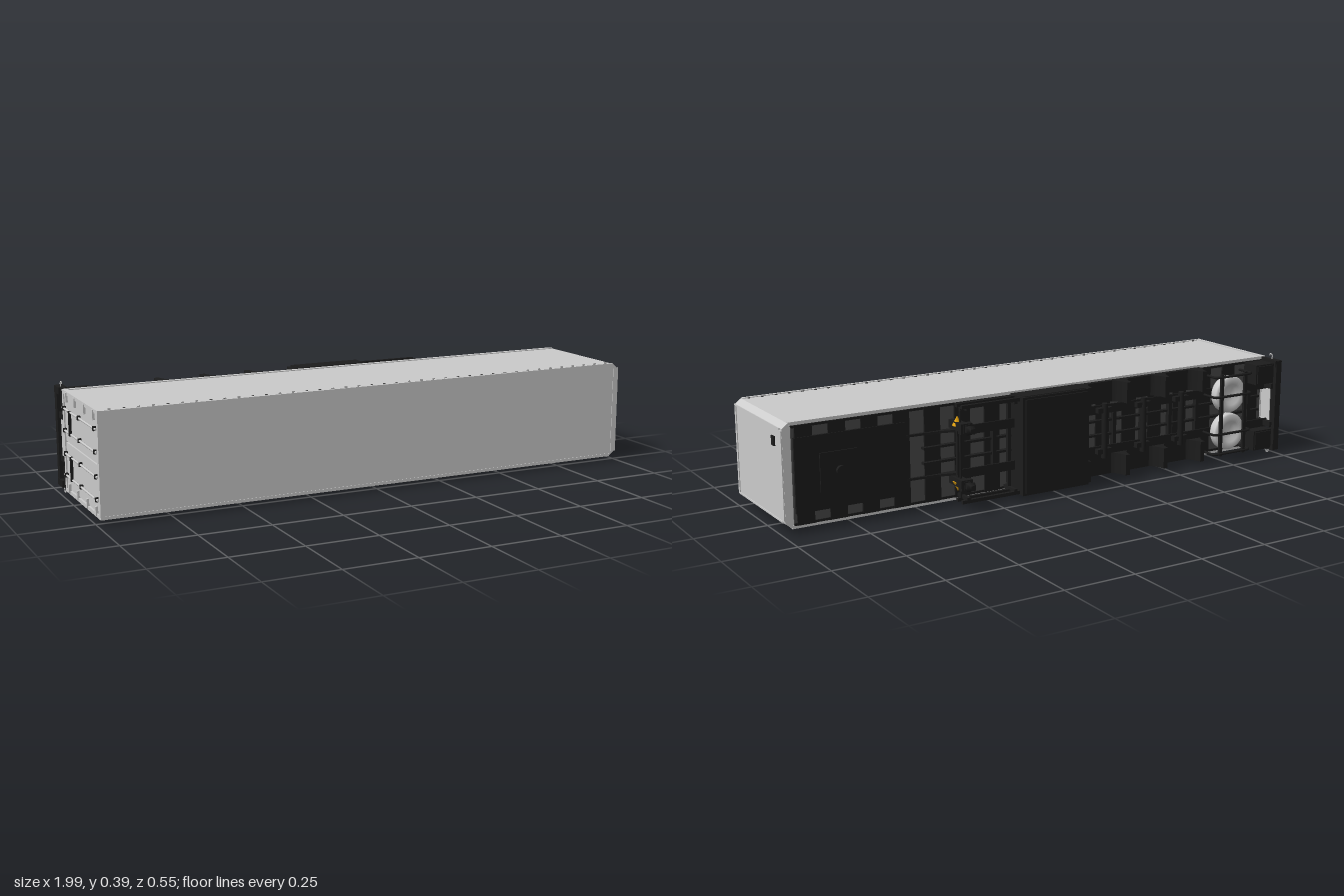
import * as THREE from 'three';

const grey = new THREE.MeshStandardMaterial({ color: 0xcccccc });
const black = new THREE.MeshStandardMaterial({ color: 0x1c1c1c });
const dark = new THREE.MeshStandardMaterial({ color: 0x4a4a4a });
const yellow = new THREE.MeshStandardMaterial({ color: 0xe0a010 });
const MID = 0.195; // centre line of the trailer across its width (y)

export function createModel() {
  const root = new THREE.Group();
  root.name = 'trailer';

  const add = (name, geo, mat, x = 0, y = 0, z = 0) => {
    const m = new THREE.Mesh(geo, mat);
    m.name = name;
    m.position.set(x, y, z);
    root.add(m);
    return m;
  };
  const box = (name, mat, x0, x1, y0, y1, z0, z1) =>
    add(name, new THREE.BoxGeometry(x1 - x0, y1 - y0, Math.abs(z1 - z0)), mat,
      (x0 + x1) / 2, (y0 + y1) / 2, (z0 + z1) / 2);
  // box repeated on both sides of the centre line; d0, d1 are distances from it
  const pair = (name, mat, x0, x1, d0, d1, z0, z1) => {
    box(name, mat, x0, x1, MID + d0, MID + d1, z0, z1);
    box(name, mat, x0, x1, MID - d1, MID - d0, z0, z1);
  };
  // outline in x, z extruded along y, from y0 to y1
  const slab = (name, mat, shape, y0, y1) => {
    const g = new THREE.ExtrudeGeometry(shape, { depth: y1 - y0, bevelEnabled: false, curveSegments: 10 });
    g.rotateX(Math.PI / 2);
    return add(name, g, mat, 0, y1, 0);
  };
  const tube = (name, mat, pts, r, closed = false) =>
    add(name, new THREE.TubeGeometry(new THREE.CatmullRomCurve3(
      pts.map(p => new THREE.Vector3(...p)), closed, 'catmullrom', 0.15), 48, r, 6, closed), mat);

  // cargo body with chamfered nose corners
  const plan = new THREE.Shape();
  plan.moveTo(-0.98, 0.022);
  plan.lineTo(0.968, 0.022);
  plan.lineTo(0.988, 0.038);
  plan.lineTo(0.988, 0.352);
  plan.lineTo(0.968, 0.368);
  plan.lineTo(-0.98, 0.368);
  plan.closePath();
  add('body', new THREE.ExtrudeGeometry(plan, { depth: 0.401, bevelEnabled: false }), grey, 0, 0, -0.127);

  // rails along the body edges
  pair('lowerSideRail', grey, -0.985, 0.966, 0.165, 0.176, -0.13, -0.113);
  pair('roofRail', grey, -0.985, 0.966, 0.165, 0.1755, 0.264, 0.276);
  box('noseLowerRail', grey, 0.98, 0.992, 0.045, 0.345, -0.126, -0.112);
  box('noseRoofRail', grey, 0.97, 0.991, 0.038, 0.352, 0.265, 0.276);
  pair('nosePost', grey, 0.98, 0.991, 0.151, 0.157, -0.11, 0.27);
  box('nosePlate', black, 0.98, 0.993, 0.284, 0.316, -0.069, -0.046);
  for (let i = 0; i < 40; i++) {
    const x = -0.95 + i * 0.0485;
    pair('railRivet', dark, x, x + 0.008, 0.17, 0.1765, 0.255, 0.26);
  }

  // rear frame, doors, locking rods and hinges
  pair('rearPost', grey, -0.99, -0.975, 0.163, 0.176, -0.13, 0.275);
  box('rearHeader', grey, -0.99, -0.975, 0.02, 0.37, 0.258, 0.275);
  box('rearSill', grey, -0.99, -0.975, 0.02, 0.37, -0.13, -0.115);
  pair('door', grey, -0.986, -0.975, 0.003, 0.16, -0.112, 0.255);
  for (const s of [-1, 1]) {
    for (const d of [0.04, 0.115]) {
      const rod = add('lockRod', new THREE.CylinderGeometry(0.004, 0.004, 0.385, 8), grey, -0.992, MID + s * d, 0.07);
      rod.rotation.x = Math.PI / 2;
      for (const z of [-0.105, 0.07, 0.245])
        box('rodKeeper', black, -0.997, -0.985, MID + s * d - 0.007, MID + s * d + 0.007, z - 0.005, z + 0.005);
    }
    box('lockHandle', black, -0.999, -0.99, MID + s * 0.0775 - 0.042, MID + s * 0.0775 + 0.042, -0.032, -0.025);
  }
  for (const z of [-0.08, 0.02, 0.13, 0.23]) pair('hinge', grey, -0.994, -0.984, 0.14, 0.172, z - 0.006, z + 0.006);

  // floor underside and crossmembers
  box('floor', dark, -0.97, 0.96, 0.034, 0.356, -0.127, -0.131);
  for (let i = 0; i < 17; i++) {
    const x = -0.95 + i * 0.115;
    box('crossmember', black, x, x + 0.06, 0.03, 0.36, -0.127, -0.137);
  }
  pair('edgeStrip', black, -0.97, 0.96, 0.157, 0.165, -0.127, -0.135);

  // coupling plate and kingpin
  box('couplerPlate', black, 0.56, 0.955, 0.07, 0.32, -0.128, -0.14);
  box('kingpinPad', black, 0.74, 0.87, 0.13, 0.26, -0.13, -0.145);
  const pin = add('kingpin', new THREE.CylinderGeometry(0.016, 0.016, 0.02, 16), black, 0.8, MID, -0.147);
  pin.rotation.x = Math.PI / 2;

  // main chassis beams tapering toward the nose, with inner stringers
  const beam = new THREE.Shape();
  [[-0.975, -0.13], [0.6, -0.13], [0.56, -0.138], [0.44, -0.146], [0.36, -0.168], [-0.975, -0.168]]
    .forEach(([x, z], i) => (i ? beam.lineTo(x, z) : beam.moveTo(x, z)));
  for (const s of [-1, 1]) {
    const y = MID + s * 0.075;
    slab('mainBeam', black, beam, y - 0.004, y + 0.004);
    box('beamFlange', black, -0.975, 0.37, y - 0.016, y + 0.016, -0.165, -0.171);
  }
  pair('stringer', black, -0.95, 0.5, 0.022, 0.03, -0.13, -0.15);
  for (let i = 0; i < 11; i++) {
    const x = -0.9 + i * 0.125;
    box('chassisTie', black, x, x + 0.014, 0.12, 0.27, -0.14, -0.158);
  }

  // mudguards: a base strip with scooped peaks between the three axles
  const guard = new THREE.Shape();
  guard.moveTo(-0.66, -0.14);
  guard.lineTo(-0.66, -0.155);
  for (let i = 0; i < 4; i++) {
    const c = -0.63 + i * 0.17;
    guard.lineTo(c - 0.036, -0.158);
    guard.quadraticCurveTo(c - 0.014, -0.17, c - 0.009, -0.213);
    guard.lineTo(c + 0.009, -0.213);
    guard.quadraticCurveTo(c + 0.014, -0.17, c + 0.036, -0.158);
  }
  guard.lineTo(-0.09, -0.155);
  guard.lineTo(-0.09, -0.14);
  guard.closePath();
  slab('mudguard', black, guard, 0.024, 0.1);
  slab('mudguard', black, guard, 0.29, 0.366);
  // axle hangers and axle tubes
  for (let i = 0; i < 3; i++) {
    const x = -0.545 + i * 0.17;
    pair('axleHanger', black, x - 0.03, x + 0.03, 0.066, 0.084, -0.16, -0.19);
    add('axle', new THREE.CylinderGeometry(0.011, 0.011, 0.2, 12), black, x, MID, -0.185);
  }

  // pallet box across the full width
  box('palletBox', black, -0.11, 0.16, 0.022, 0.368, -0.143, -0.226);
  box('palletBoxLid', black, -0.1, 0.15, 0.03, 0.36, -0.226, -0.232);
  pair('palletBoxDoor', black, -0.1, 0.15, 0.17, 0.175, -0.152, -0.218);

  // side guards ahead of the pallet box
  for (const z of [-0.165, -0.2]) pair('sideGuardRail', black, 0.16, 0.385, 0.158, 0.17, z + 0.006, z - 0.006);
  for (const x of [0.17, 0.355]) {
    pair('sideGuardPost', black, x, x + 0.012, 0.15, 0.162, -0.13, -0.206);
    box('sideGuardCrossbar', black, x, x + 0.012, 0.035, 0.355, -0.15, -0.162);
  }

  // landing legs with flared feet and gearing
  for (const s of [-1, 1]) {
    const y = MID + s * 0.097;
    box('legSleeve', black, 0.368, 0.396, y - 0.014, y + 0.014, -0.13, -0.235);
    box('legInner', black, 0.373, 0.391, y - 0.01, y + 0.01, -0.23, -0.27);
    const foot = add('legFoot', new THREE.CylinderGeometry(0.012, 0.021, 0.018, 4, 1, false, Math.PI / 4), black, 0.382, y, -0.265);
    foot.rotation.x = -Math.PI / 2;
    box('legBracket', black, 0.36, 0.404, y - 0.018, y + 0.018, -0.21, -0.232);
    const gear = add('legGear', new THREE.ConeGeometry(0.018, 0.034, 6), yellow, 0.385, y + s * 0.017, -0.172);
    gear.rotation.x = s < 0 ? Math.PI : 0;
  }
  box('legCrossTie', black, 0.376, 0.388, 0.1, 0.29, -0.165, -0.177);
  add('crankShaft', new THREE.CylinderGeometry(0.004, 0.004, 0.3, 8), black, 0.384, MID, -0.19);

  // spare wheels lying flat in a tubular carrier
  const rim = [[0, 0.008], [0.022, 0.008], [0.03, 0.018], [0.05, 0.02], [0.064, 0.02], [0.069, 0.012],
    [0.069, -0.012], [0.064, -0.02], [0.04, -0.02], [0.03, -0.008], [0, -0.008]]
    .map(([r, h]) => new THREE.Vector2(r, h)).reverse();
  for (const s of [-1, 1]) {
    const y = MID + s * 0.071;
    const wheel = add('spareWheel', new THREE.LatheGeometry(rim, 32), grey, -0.75, y, -0.205);
    wheel.rotation.x = Math.PI / 2;
    for (const d of [0.0, 0.075]) {
      const yy = y + s * d;
      tube('carrierLoop', black, [[-0.835, yy, -0.165], [-0.835, yy, -0.228], [-0.822, yy, -0.238],
        [-0.678, yy, -0.238], [-0.665, yy, -0.228], [-0.665, yy, -0.165]], 0.005);
    }
  }
  for (const x of [-0.805, -0.695]) box('carrierBar', black, x - 0.006, x + 0.006, 0.04, 0.35, -0.23, -0.24);

  // rear storage boxes, underrun bumper and lamp panel
  pair('rearBox', black, -0.96, -0.875, 0.09, 0.165, -0.145, -0.215);
  pair('rearBoxLid', black, -0.955, -0.88, 0.095, 0.16, -0.215, -0.22);
  pair('bumperArm', black, -0.985, -0.955, 0.065, 0.085, -0.13, -0.21);
  box('bumper', black, -0.99, -0.965, 0.022, 0.368, -0.198, -0.225);
  pair('lampPanel', black, -0.985, -0.972, 0.1, 0.174, -0.13, -0.17);
  box('rearPlate', grey, -0.982, -0.974, 0.11, 0.28, -0.135, -0.185);
  pair('bumperEnd', black, -0.992, -0.962, 0.15, 0.174, -0.165, -0.223);

  // bent marker arms on the rear corners
  for (const s of [-1, 1]) {
    const p = d => MID + s * d;
    tube('markerArm', grey, [[-0.98, p(0.168), -0.182], [-0.98, p(0.187), -0.182],
      [-0.98, p(0.192), -0.178], [-0.98, p(0.192), -0.169], [-0.98, p(0.185), -0.168]], 0.002);
  }
  return root;
}
